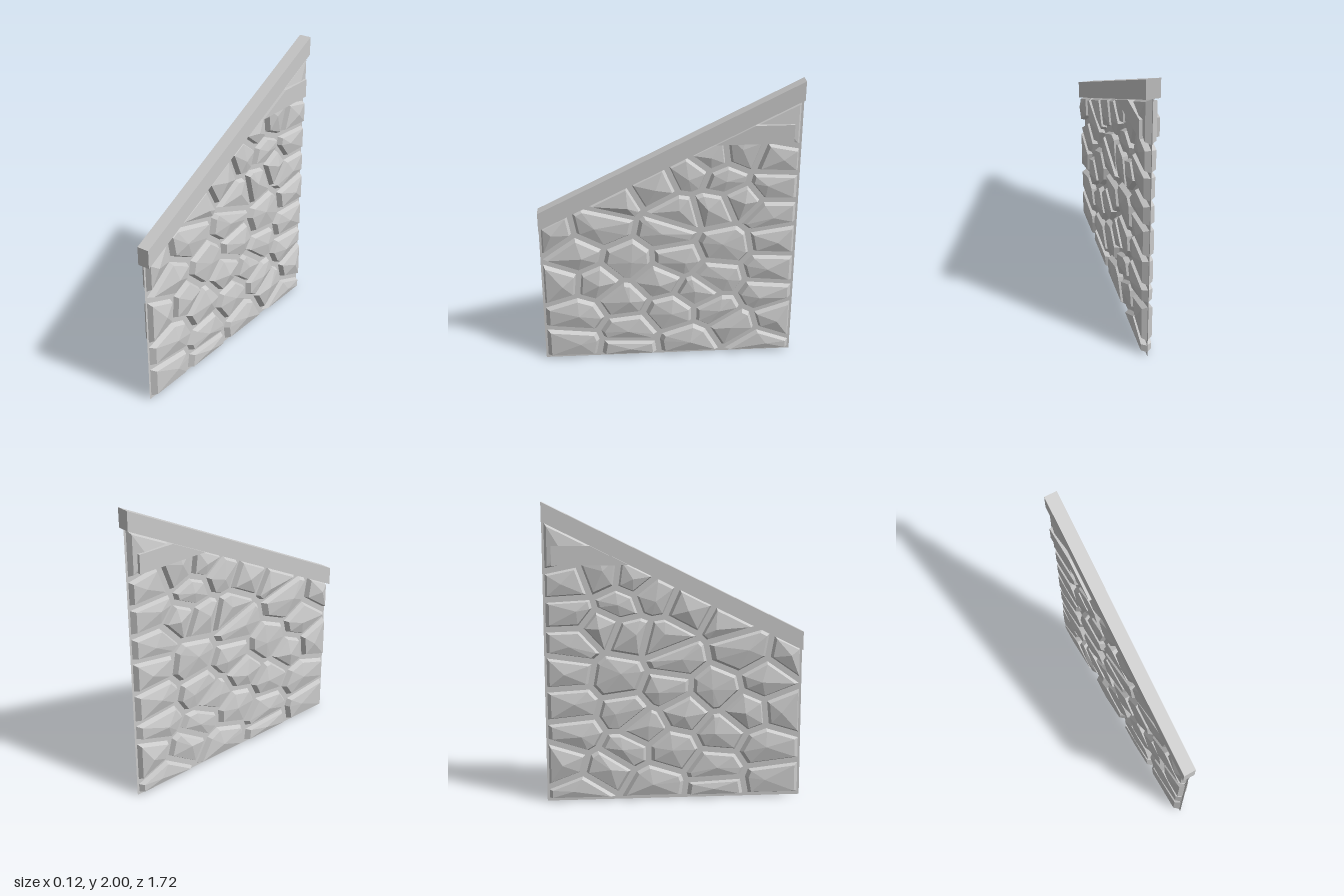
import * as THREE from 'three';

const material = new THREE.MeshStandardMaterial({ color: 0xcccccc, flatShading: true });
const thin = new THREE.MeshStandardMaterial({ color: 0xcccccc, side: THREE.DoubleSide });

const HALF = 0.86; // half the wall's length
const slope = (u) => 1.015 + (u + HALF) * 0.5; // underside of the coping

// Stone centres [along, height]; outlines follow from the neighbours
const centres = [
  // foot and lower part
  [-0.66, 0.105], [-0.29, 0.06], [0.14, 0.1], [0.62, 0.045], [-0.28, 0.2], [-0.62, 0.345],
  [0.02, 0.345], [0.45, 0.22], [0.75, 0.275], [0.33, 0.345], [0.66, 0.46], [-0.32, 0.455],
  // middle
  [0.21, 0.5], [-0.74, 0.605], [-0.49, 0.59], [-0.07, 0.6], [0.33, 0.6], [0.69, 0.665],
  [-0.63, 0.8], [-0.27, 0.745], [0.05, 0.755], [0.38, 0.845], [0.71, 0.885],
  // upper part
  [-0.82, 0.98], [-0.45, 1.025], [0, 0.965], [0.07, 1.09], [0.3, 1.13], [0.48, 1.18],
  [0.67, 1.065], [0.68, 1.285], [-0.37, 1.22], [-0.11, 1.315], [0.145, 1.39], [0.37, 1.335],
  [0.27, 1.495], [0.49, 1.515], [0.695, 1.465], [0.765, 1.69],
];

function makeRandom(seed) {
  return () => (seed = (seed * 16807) % 2147483647) / 2147483647;
}

function polygon(points) {
  return new THREE.Shape(points.map(([u, y]) => new THREE.Vector2(u, y)));
}

// Flat outline thickened evenly about the wall's middle plane
function slab(name, points, width) {
  const geometry = new THREE.ExtrudeGeometry(polygon(points), { depth: width, bevelEnabled: false });
  geometry.translate(0, 0, -width / 2);
  const mesh = new THREE.Mesh(geometry, material);
  mesh.name = name;
  return mesh;
}

// Keep the part of a convex outline where nu * u + ny * y <= limit
function clip(points, nu, ny, limit) {
  const kept = [];
  points.forEach((p, i) => {
    const q = points[(i + 1) % points.length];
    const dp = nu * p[0] + ny * p[1] - limit;
    const dq = nu * q[0] + ny * q[1] - limit;
    if (dp <= 0) kept.push(p);
    if (dp * dq < 0) {
      const t = dp / (dp - dq);
      kept.push([p[0] + (q[0] - p[0]) * t, p[1] + (q[1] - p[1]) * t]);
    }
  });
  return kept;
}

// The share of the wall nearest one centre, less the mortar joint
function stoneOutline([u, y]) {
  const joint = 0.019, stretch = 1.5, edge = HALF - 0.015;
  let points = [[-edge, 0.022], [edge, 0.022], [edge, slope(edge)], [-edge, slope(-edge)]];
  for (const [u2, y2] of centres) {
    if (u2 === u && y2 === y) continue;
    const normal = new THREE.Vector2(u2 - u, (y2 - y) * stretch).normalize();
    const limit = (normal.x * (u + u2) + normal.y * (y + y2)) / 2 - joint;
    points = clip(points, normal.x, normal.y, limit);
  }
  return points;
}

// Faceted stone passing through the wall: two peaks joined by three rings
function stone(outline, random) {
  const sides = outline.length;
  const ys = outline.map((p) => p[1]);
  const height = Math.max(...ys) - Math.min(...ys);
  const cu = outline.reduce((sum, p) => sum + p[0], 0) / sides;
  const cy = outline.reduce((sum, p) => sum + p[1], 0) / sides;
  const bulge = 0.042 + 0.05 * Math.min(height, 0.25) * (0.5 + random());

  const positions = [];
  for (const [scale, depth] of [[0.87, -0.035], [1, 0], [0.87, 0.035]])
    for (const [u, y] of outline)
      positions.push(cu + (u - cu) * scale, cy + (y - cy) * scale, depth);
  const shift = (random() - 0.5) * height * 0.3;
  positions.push(cu + shift, cy, -bulge, cu + shift, cy, bulge);

  const index = [];
  const back = sides * 3, front = back + 1;
  for (let i = 0; i < sides; i++) {
    const j = (i + 1) % sides;
    for (const k of [0, sides])
      index.push(k + i, k + j, k + sides + j, k + i, k + sides + j, k + sides + i);
    index.push(j, i, back, sides * 2 + i, sides * 2 + j, front);
  }
  const geometry = new THREE.BufferGeometry();
  geometry.setAttribute('position', new THREE.Float32BufferAttribute(positions, 3));
  geometry.setIndex(index);
  geometry.computeVertexNormals();
  const mesh = new THREE.Mesh(geometry, material);
  mesh.name = 'stone';
  return mesh;
}

export function createModel() {
  const model = new THREE.Group();
  model.name = 'slopedStoneWall';

  // Everything is drawn lengthwise, then turned to run along z
  const wall = new THREE.Group();
  wall.name = 'wall';
  wall.rotation.y = Math.PI / 2;
  model.add(wall);

  // Mortar sheet
  const sheet = new THREE.Mesh(new THREE.ShapeGeometry(polygon([
    [-HALF, 0], [HALF, 0], [HALF, slope(HALF)], [-HALF, slope(-HALF)],
  ])), thin);
  sheet.name = 'mortarPanel';
  wall.add(sheet);

  // Sloping coping
  wall.add(slab('coping', [
    [-HALF, slope(-HALF)], [HALF, slope(HALF)], [HALF, 2], [-HALF, 1.14],
  ], 0.085));

  // Short beam, cut off along the coping
  wall.add(slab('beam', [[0.3, 1.595], [0.8, 1.595], [0.8, 1.72], [0.55, 1.72]], 0.122));

  // Stones
  const random = makeRandom(4127);
  const stones = new THREE.Group();
  stones.name = 'stones';
  for (const centre of centres) stones.add(stone(stoneOutline(centre), random));
  wall.add(stones);

  return model;
}
